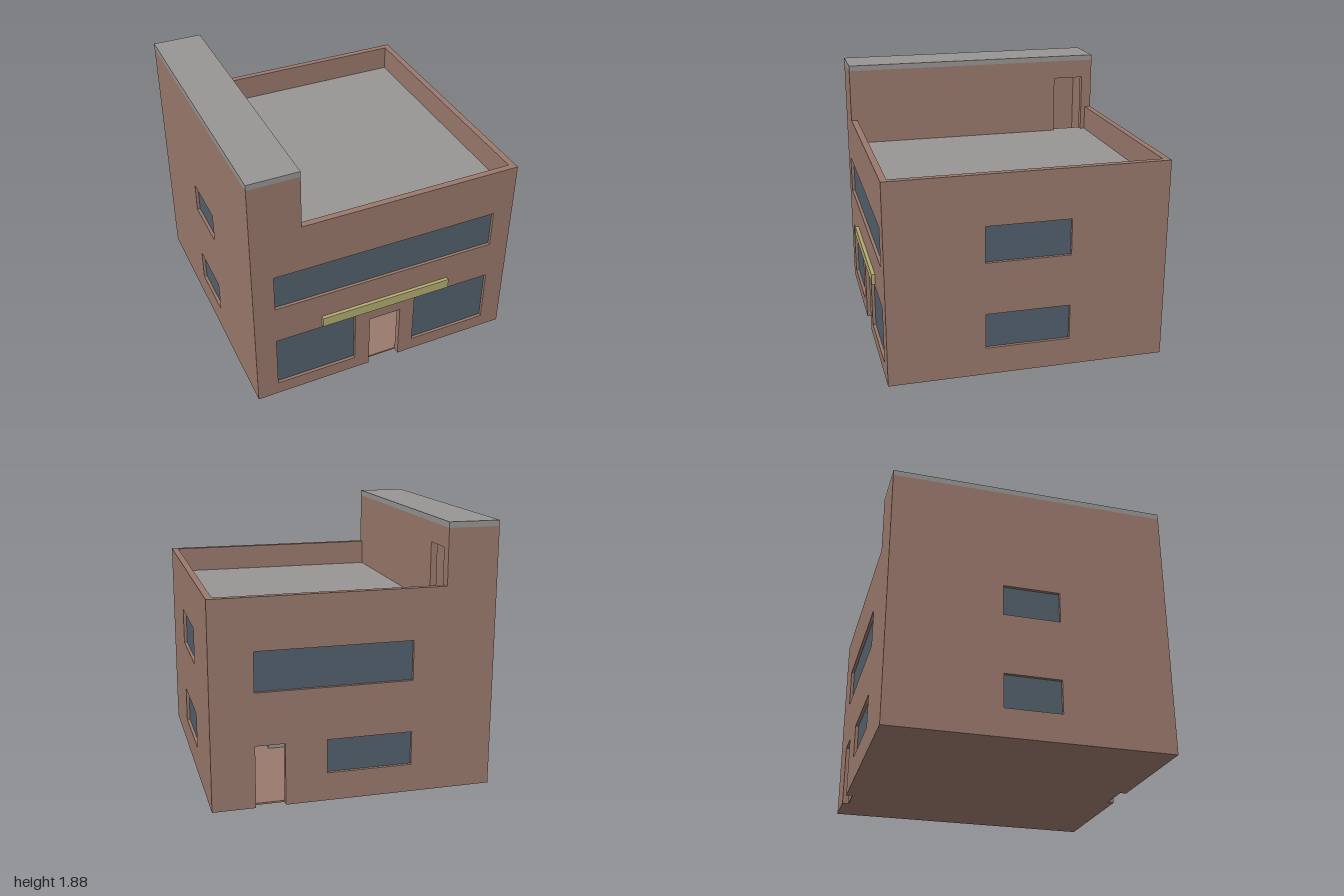
import * as THREE from 'three';

export function createModel() {
  const model = new THREE.Group();
  model.name = 'building';

  const mat = (name, color) => {
    const m = new THREE.MeshStandardMaterial({ color });
    m.name = name;
    return m;
  };
  const brick = mat('brick', 0x9a796c);
  const concrete = mat('concrete', 0x979693);
  const glass = mat('window glass', 0x53606c);
  const yellow = mat('sign yellow', 0xb4ac72);

  // Main dimensions
  const X = 0.988, ZF = 0.975, ZB = -1;       // outer faces
  const T = 0.046;                            // wall thickness
  const H = 1.45, TOWER_H = 1.84, TOWER_X = -0.63;
  const DECK = 1.265;

  // Box given by its min and max corners
  function box(name, material, x0, x1, y0, y1, z0, z1) {
    const mesh = new THREE.Mesh(new THREE.BoxGeometry(x1 - x0, y1 - y0, z1 - z0), material);
    mesh.position.set((x0 + x1) / 2, (y0 + y1) / 2, (z0 + z1) / 2);
    mesh.name = name;
    model.add(mesh);
  }

  // Wall in its own plane: outer face at local z = 0, with glazed holes [u0, u1, y0, y1]
  function wall(name, outline, windows, position, turn) {
    const group = new THREE.Group();
    group.name = name;
    const shape = new THREE.Shape(outline.map(p => new THREE.Vector2(...p)));
    for (const [u0, u1, y0, y1] of windows) {
      shape.holes.push(new THREE.Path([
        new THREE.Vector2(u0, y0), new THREE.Vector2(u0, y1),
        new THREE.Vector2(u1, y1), new THREE.Vector2(u1, y0),
      ]));
      const pane = new THREE.Mesh(new THREE.BoxGeometry(u1 - u0, y1 - y0, 0.008), glass);
      pane.position.set((u0 + u1) / 2, (y0 + y1) / 2, -0.026);
      pane.name = 'windowPane';
      group.add(pane);
    }
    const geometry = new THREE.ExtrudeGeometry(shape, { depth: T, bevelEnabled: false });
    geometry.translate(0, 0, -T);
    const mesh = new THREE.Mesh(geometry, brick);
    mesh.name = name + 'Brickwork';
    group.add(mesh);
    group.position.set(...position);
    group.rotation.y = turn;
    model.add(group);
  }

  // Front wall, stepped up at the tower, with doorway notch
  wall('frontWall', [
    [-X, 0], [-0.12, 0], [-0.12, 0.44], [0.12, 0.44], [0.12, 0], [X, 0],
    [X, H], [TOWER_X, H], [TOWER_X, TOWER_H], [-X, TOWER_H],
  ], [
    [-0.835, 0.835, 0.81, 1.09],
    [-0.835, -0.235, 0.1, 0.515],
    [0.235, 0.835, 0.1, 0.515],
  ], [0, 0, ZF], 0);

  // Back wall (local u runs towards -x)
  wall('backWall', [
    [-X, 0], [-0.69, 0], [-0.69, 0.44], [-0.485, 0.44], [-0.485, 0], [X, 0],
    [X, TOWER_H], [-TOWER_X, TOWER_H], [-TOWER_X, H], [-X, H],
  ], [
    [-0.69, 0.405, 0.81, 1.09],
    [-0.195, 0.405, 0.2, 0.44],
  ], [0, 0, ZB], Math.PI);

  // Side walls fit between the front and back walls
  const a = ZF - T, b = ZB + T;
  wall('leftWall', [[-a, 0], [-b, 0], [-b, H], [-a, H]],
    [[-0.295, 0.305, 0.83, 1.09], [-0.295, 0.305, 0.2, 0.455]],
    [X, 0, 0], Math.PI / 2);
  wall('rightWall', [[b, 0], [a, 0], [a, TOWER_H], [b, TOWER_H]],
    [[-0.215, 0.185, 0.87, 1.09], [-0.215, 0.185, 0.2, 0.44]],
    [-X, 0, 0], -Math.PI / 2);

  // Stair tower wall facing the roof terrace, with doorway
  wall('towerWall', [
    [-a, DECK - 0.04], [0.685, DECK - 0.04], [0.685, 1.7], [0.92, 1.7],
    [0.92, DECK - 0.04], [-b, DECK - 0.04], [-b, TOWER_H], [-a, TOWER_H],
  ], [], [TOWER_X, 0, 0], Math.PI / 2);
  box('towerCap', concrete, -X, TOWER_X, TOWER_H, 1.88, ZB, ZF);

  // Floors and roof terrace
  box('groundFloor', brick, -X + T, X - T, 0, 0.012, b, a);
  box('upperFloor', brick, -X + T, X - T, 0.62, 0.66, b, a);
  box('roofDeck', concrete, TOWER_X - T, X - T, DECK - 0.04, DECK, b, a);

  // Stepped counter inside the entrance
  box('counterFront', concrete, -0.4, 0.4, 0.012, 0.28, 0.15, 0.33);
  box('counterBack', concrete, -0.4, 0.4, 0.012, 0.36, 0, 0.15);

  // Sign board above the door
  box('signBoard', yellow, -0.495, 0.495, 0.54, 0.615, ZF, 1);

  return model;
}
